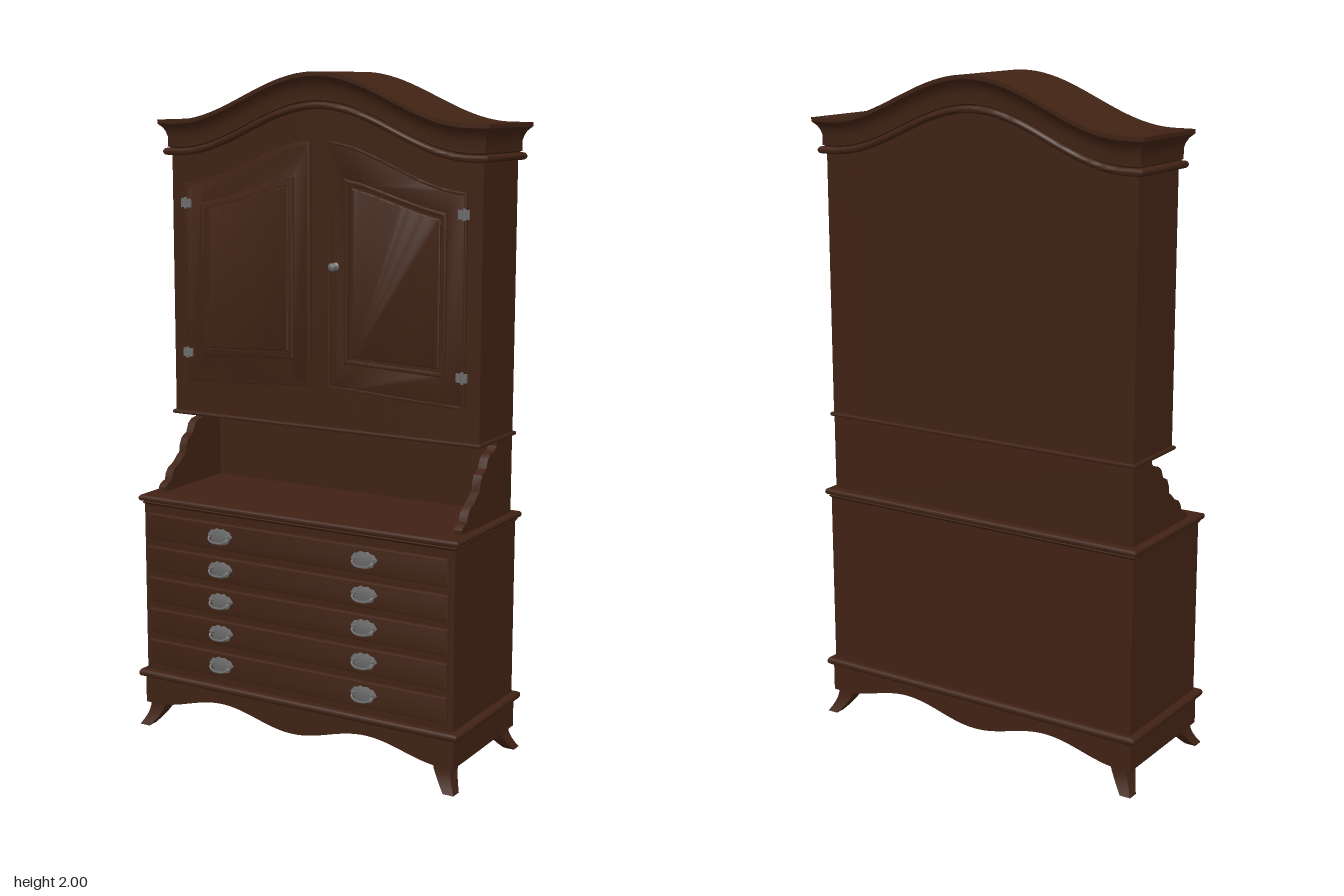
import * as THREE from 'three';
import { toCreasedNormals } from 'three/addons/utils/BufferGeometryUtils.js';

const wood = new THREE.MeshStandardMaterial({ color: 0x402214 });
const metal = new THREE.MeshStandardMaterial({ color: 0x6c6c6c });

// Height added by the arched top and by the scalloped apron, as a function of x
const hump = (x, half) => Math.abs(x) >= half ? 0 : (1 + Math.cos(Math.PI * x / half)) / 2;
const arch = x => 0.14 * hump(x, 0.49);
const scallop = x => Math.abs(x) > 0.5 ? 0 : 0.0225 * (1 - Math.cos(4 * Math.PI * x));

// Sweeps a profile of [outset, height, curve share] around a rectangular plan
function sweep(profile, hx, zBack, zFront, curve = () => 0, n = 1, caps = true) {
  const pos = [], idx = [], count = 2 * n + 2;
  for (const [o, h, share = 0] of profile) {
    for (let i = 0; i < count; i++) {
      const front = i <= n;
      const t = front ? i / n : (count - 1 - i) / n;
      const x = (2 * t - 1) * (hx + o);
      pos.push(x, h + share * curve(x), front ? zFront + o : zBack - o);
    }
  }
  const quad = (a, b, c, d) => idx.push(a, b, c, a, c, d);
  for (let j = 0; j < profile.length - 1; j++) {
    for (let i = 0; i < count; i++) {
      const a = j * count + i, b = j * count + (i + 1) % count;
      quad(a, b, b + count, a + count);
    }
  }
  if (caps) {
    const top = (profile.length - 1) * count;
    for (let i = 0; i < n; i++) {
      const b = count - 1 - i;
      quad(top + i, top + i + 1, top + b - 1, top + b);
      quad(i, b, b - 1, i + 1);
    }
  }
  const g = new THREE.BufferGeometry();
  g.setAttribute('position', new THREE.Float32BufferAttribute(pos, 3));
  g.setIndex(idx);
  return toCreasedNormals(g, 0.6);
}

// Half-round moulding profile between two heights
function bead(y0, y1, out, steps = 6) {
  const p = [[0, y0]];
  for (let i = 0; i <= steps; i++) {
    const a = Math.PI * (i / steps - 0.5);
    p.push([out * (0.5 + 0.5 * Math.cos(a)), (y0 + y1) / 2 + (y1 - y0) / 2 * Math.sin(a)]);
  }
  p.push([0, y1]);
  return p;
}

// Outline with straight sides and curved bottom and top, on the given side
function outline(side, x0, x1, bottom, top) {
  const pts = [], n = 20;
  for (let i = 0; i <= n; i++) {
    const x = x0 + (x1 - x0) * i / n;
    pts.push(new THREE.Vector2(side * x, bottom(x)));
  }
  for (let i = n; i >= 0; i--) {
    const x = x0 + (x1 - x0) * i / n;
    pts.push(new THREE.Vector2(side * x, top(x)));
  }
  return pts;
}

// Bevelled plate from z0 to z1
function plate(points, z0, z1, bevel = 0.003, hole = null) {
  const shape = new THREE.Shape(points);
  if (hole) shape.holes.push(new THREE.Path(hole));
  const g = new THREE.ExtrudeGeometry(shape, {
    depth: z1 - z0 - bevel, bevelThickness: bevel, bevelSize: bevel,
    bevelOffset: -bevel, bevelSegments: 2, curveSegments: 8
  });
  g.translate(0, 0, z0);
  return toCreasedNormals(g, 0.5);
}

export function createModel() {
  const root = new THREE.Group();
  const add = (name, geo, mat = wood, parent = root) => {
    const m = new THREE.Mesh(geo, mat);
    m.name = name;
    parent.add(m);
    return m;
  };
  const box = (w, h, d, x, y, z) => new THREE.BoxGeometry(w, h, d).translate(x, y, z);

  // Splayed feet, tapering and curving outward toward the floor
  for (const sx of [-1, 1]) for (const sz of [-1, 1]) {
    const g = new THREE.BoxGeometry(1, 0.09, 1, 1, 6, 1);
    const p = g.attributes.position;
    for (let i = 0; i < p.count; i++) {
      const y = p.getY(i) + 0.045, t = Math.min(1, y / 0.07);
      const splay = 0.035 * (1 - t) ** 1.6, width = 0.034 + 0.02 * t;
      p.setXYZ(i, sx * (0.495 + splay) + p.getX(i) * width, y,
        -0.005 + sz * (0.167 + splay) + p.getZ(i) * width);
    }
    add('foot', toCreasedNormals(g, 0.6));
  }

  // Hollow scalloped apron and the moulding above it
  add('apron', sweep([[-0.02, 0.16, 0], [-0.02, 0.07, 1], [0, 0.07, 1], [0, 0.16, 0]],
    0.535, -0.205, 0.195, scallop, 64, false));
  add('baseMoulding', sweep(bead(0.155, 0.178, 0.016), 0.535, -0.202, 0.194));

  // Chest of drawers
  add('chestBody', sweep([[0, 0.17], [0, 0.72]], 0.53, -0.2, 0.19));
  add('chestTop', sweep([[0, 0.705], [0.006, 0.712], ...bead(0.716, 0.735, 0.014)], 0.53, -0.2, 0.19));

  // Drawers with two bail handles each
  const drawers = [[0.2, 0.28], [0.3, 0.38], [0.4, 0.48], [0.5, 0.578], [0.6, 0.682]];
  const halfPlate = [[0, 0.023], [0.012, 0.026], [0.022, 0.02], [0.032, 0.019],
    [0.044, 0.003], [0.034, -0.006], [0.028, -0.018], [0.014, -0.022], [0, -0.026]];
  const backPlate = [...halfPlate, ...halfPlate.slice(1, -1).reverse().map(([x, y]) => [-x, y])]
    .map(([x, y]) => new THREE.Vector2(x, y));
  const bail = new THREE.CatmullRomCurve3([[-0.03, 0.004, 0.008], [-0.032, -0.004, 0.016],
    [-0.018, -0.013, 0.022], [0, -0.015, 0.023], [0.018, -0.013, 0.022],
    [0.032, -0.004, 0.016], [0.03, 0.004, 0.008]].map(v => new THREE.Vector3(...v)));
  for (const [y0, y1] of drawers) {
    const rect = [[-0.515, y0], [0.515, y0], [0.515, y1], [-0.515, y1]].map(v => new THREE.Vector2(...v));
    add('drawerFront', plate(rect, 0.185, 0.199, 0.006));
    for (const sx of [-1, 1]) {
      const handle = new THREE.Group();
      handle.name = 'drawerHandle';
      handle.position.set(sx * 0.247, (y0 + y1) / 2, 0.198);
      add('handlePlate', plate(backPlate, 0, 0.004, 0.001), metal, handle);
      add('handleBail', new THREE.TubeGeometry(bail, 24, 0.0035, 6), metal, handle);
      for (const s of [-1, 1]) {
        add('handlePost', new THREE.CylinderGeometry(0.004, 0.006, 0.014, 10)
          .rotateX(Math.PI / 2).translate(s * 0.03, 0.004, 0.008), metal, handle);
      }
      root.add(handle);
    }
  }

  // Open niche: back panel and scrolled side brackets
  add('nicheBack', box(1.03, 0.24, 0.02, 0, 0.85, -0.178));
  const scroll = [[-0.188, 0.73], [0.132, 0.73], [0.132, 0.748], [0.118, 0.76], [0.1, 0.765],
    [0.094, 0.785], [0.082, 0.8], [0.055, 0.812], [0.035, 0.83], [0.022, 0.838], [0.018, 0.862],
    [0.008, 0.882], [-0.018, 0.895], [-0.028, 0.92], [-0.045, 0.933], [-0.07, 0.937],
    [-0.084, 0.95], [-0.086, 0.97], [-0.188, 0.97]].map(v => new THREE.Vector2(...v));
  for (const sx of [-1, 1]) {
    const g = new THREE.ExtrudeGeometry(new THREE.Shape(scroll), { depth: 0.026, bevelEnabled: false });
    g.rotateY(-Math.PI / 2).translate(sx * 0.507 + 0.013, 0, 0);
    add('nicheBracket', toCreasedNormals(g, 0.6));
  }

  // Upper cabinet with an arched top
  add('cabinetBody', sweep([[0, 0.968, 0], [0, 1.79, 1]], 0.52, -0.19, 0.031, arch, 48));
  add('cabinetBaseMoulding', sweep(bead(0.964, 0.976, 0.008), 0.52, -0.19, 0.032));

  // Doors with a moulded frame around a raised panel
  for (const sx of [-1, 1]) {
    const door = new THREE.Group();
    door.name = sx > 0 ? 'leftDoor' : 'rightDoor';
    root.add(door);
    const inset = d => outline(sx, 0.085 + d, 0.415 - d,
      x => 1.155 + d + 0.1 * arch(x), x => 1.612 - d + 0.7 * arch(x));
    const doorEdge = d => outline(sx, 0.028 + d, 0.475 - d,
      x => 1.07 + d + 0.15 * arch(x), x => 1.675 - d + 0.96 * arch(x));
    add('doorFrame', plate(doorEdge(0), 0.025, 0.037, 0.003, inset(0.006)), wood, door);
    add('doorEdgeBead', plate(doorEdge(0), 0.03, 0.039, 0.002, doorEdge(0.009)), wood, door);
    add('panelMoulding', plate(inset(0), 0.025, 0.043, 0.004, inset(0.014)), wood, door);
    add('doorPanel', plate(inset(0.022), 0.025, 0.037, 0.005), wood, door);
    for (const y of [1.16, 1.615]) {
      add('hinge', box(0.034, 0.026, 0.006, sx * 0.466, y, 0.039), metal, door);
      add('hingePin', new THREE.CylinderGeometry(0.005, 0.005, 0.034, 10)
        .translate(sx * 0.468, y, 0.041), metal, door);
    }
  }
  const knob = [[0, 0], [0.013, 0], [0.012, 0.004], [0.005, 0.007], [0.005, 0.014],
    [0.011, 0.018], [0.012, 0.022], [0.008, 0.027], [0, 0.028]].map(v => new THREE.Vector2(...v));
  add('doorKnob', new THREE.LatheGeometry(knob, 16).rotateX(Math.PI / 2).translate(0.055, 1.45, 0.036), metal);

  // Arched cornice: lower bead, frieze and flaring crown
  const cornice = [...bead(1.757, 1.778, 0.019), [0.008, 1.782], [0.008, 1.812], [0.012, 1.826],
    [0.018, 1.838], [0.026, 1.846], [0.03, 1.85], [0.03, 1.862]].map(([o, h]) => [o, h, 1]);
  add('cornice', sweep(cornice, 0.521, -0.19, 0.033, arch, 48));
  return root;
}
